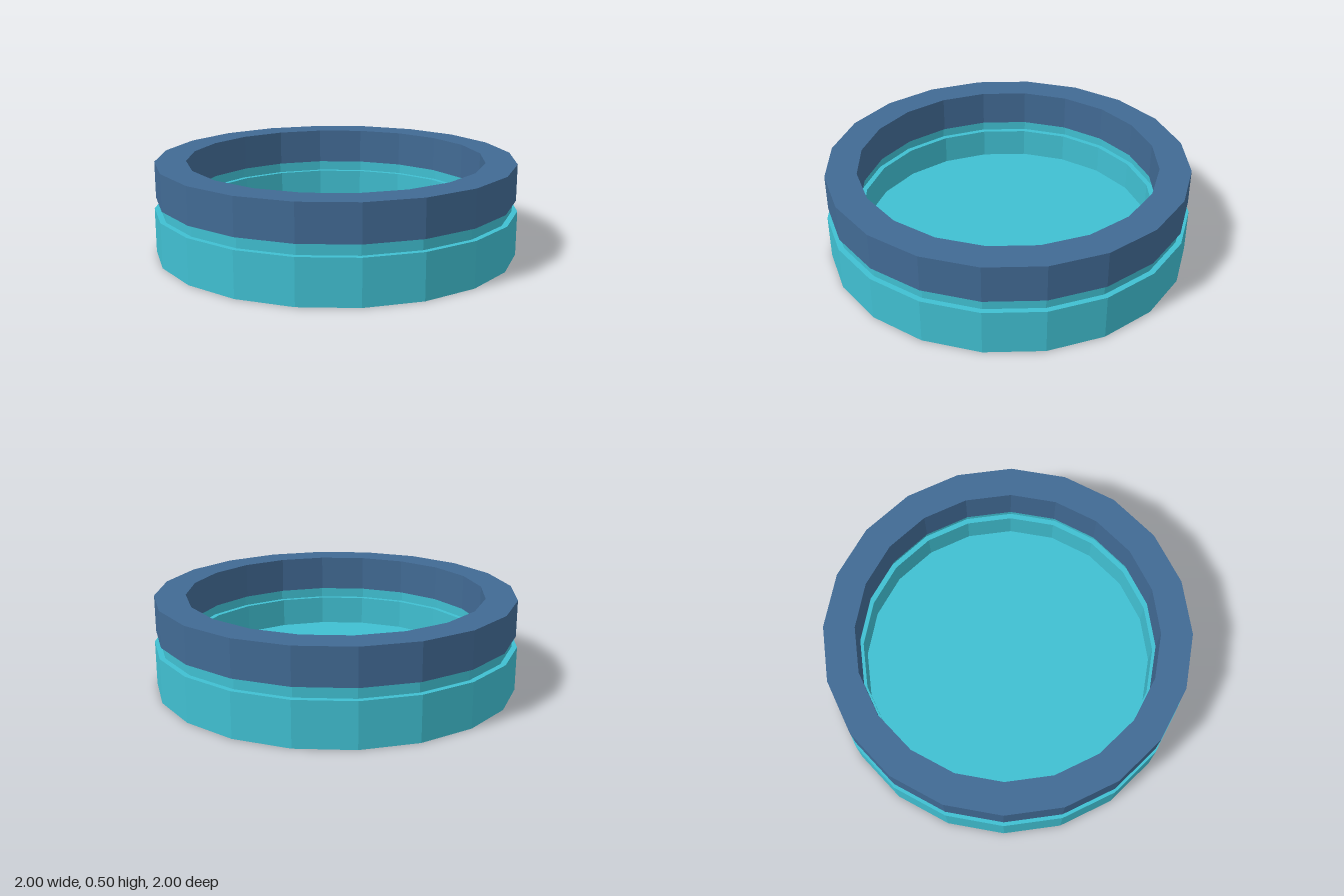
import * as THREE from 'three';

const SIDES = 20;

// Faceted turned part from [radius, height] points, running up the outside and down the inside
function turned(name, profile, material) {
  const points = profile.map(([r, y]) => new THREE.Vector2(r, y));
  const geometry = new THREE.LatheGeometry(points, SIDES).toNonIndexed();
  geometry.computeVertexNormals();
  const mesh = new THREE.Mesh(geometry, material);
  mesh.name = name;
  return mesh;
}

export function createModel() {
  const teal = new THREE.MeshStandardMaterial({ color: 0x40bfd1 });
  teal.name = 'teal';
  const blue = new THREE.MeshStandardMaterial({ color: 0x416a94 });
  blue.name = 'slate blue';
  const brown = new THREE.MeshStandardMaterial({ color: 0x9a7b62 });
  brown.name = 'brown';

  const model = new THREE.Group();
  model.name = 'roundContainer';

  // Shallow dish with a stepped neck and an inner ledge
  model.add(turned('dish', [
    [0, 0], [1, 0], [1, 0.245], [0.97, 0.245], [0.97, 0.305],
    [0.84, 0.305], [0.84, 0.245], [0.81, 0.245], [0.81, 0.08], [0, 0.08],
  ], teal));

  // Collar resting on the neck
  model.add(turned('collar', [
    [0.99, 0.305], [0.99, 0.505], [0.82, 0.505], [0.82, 0.305],
  ], blue));

  // Underside of the collar
  model.add(turned('collarUnderside', [[0.82, 0.305], [0.99, 0.305]], brown));

  return model;
}
